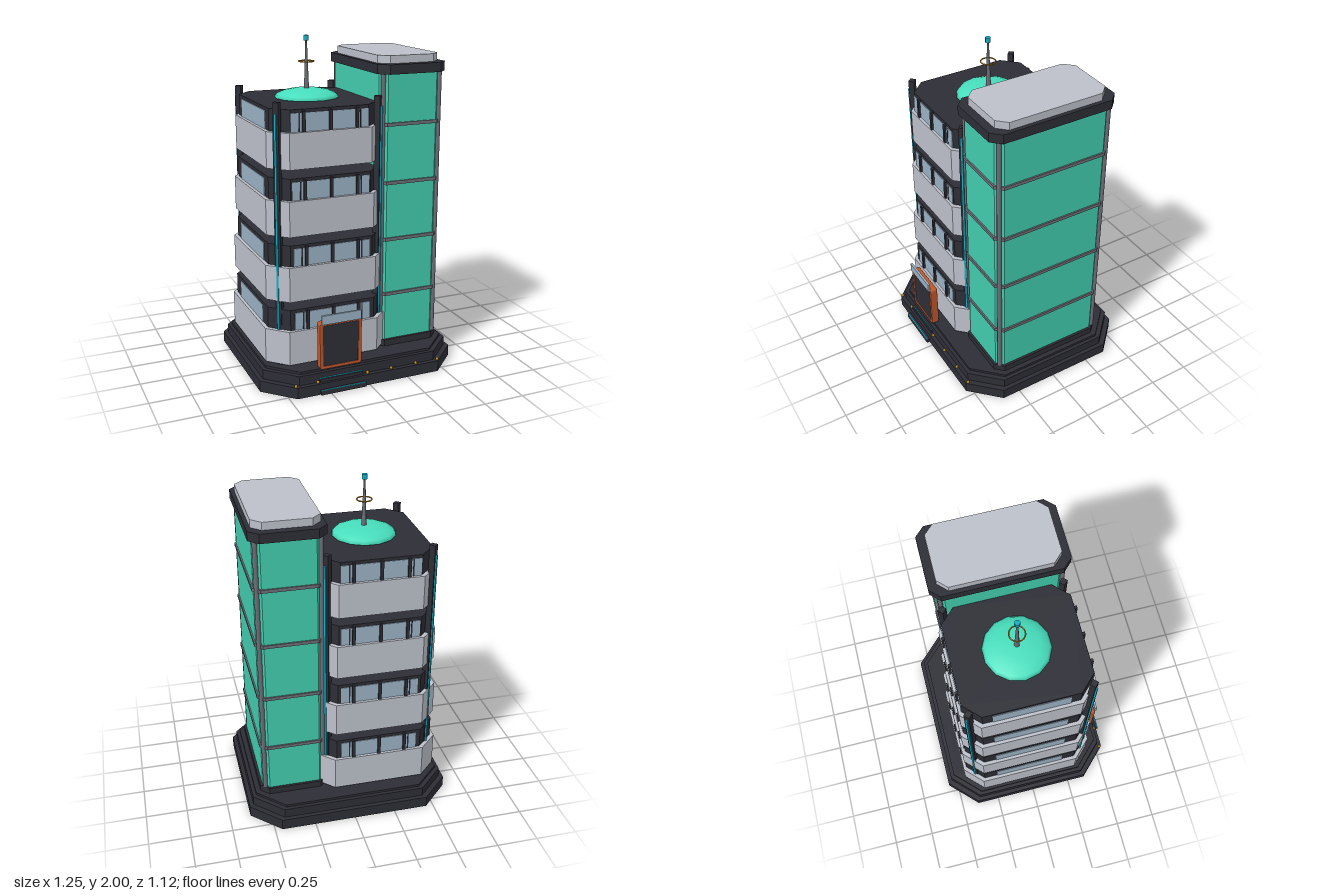
import * as THREE from 'three';

const mat = (name, color) => Object.assign(new THREE.MeshStandardMaterial({ color }), { name });
const M = {
  dark: mat('charcoal', 0x2d2d36),
  grey: mat('pale grey', 0xbcc0c9),
  green: mat('green glass', 0x42ccae),
  dome: mat('bright green', 0x47debd),
  pane: mat('window blue', 0x9ab0c2),
  orange: mat('burnt orange', 0xbb562c),
  gold: mat('gold', 0xb8860f),
  cyan: mat('cyan light', 0x13adc8),
  metal: mat('metal grey', 0x6c6e77),
};
const CX = -0.178, CZ = -0.0125, TX = 0.338; // block centre, tower centre

function add(parent, name, geo, material, x = 0, y = 0, z = 0) {
  const mesh = new THREE.Mesh(geo, material);
  mesh.name = name;
  mesh.position.set(x, y, z);
  parent.add(mesh);
  return mesh;
}

// Box given by its centre and size
const box = (p, name, m, x, y, z, w, h, d) => add(p, name, new THREE.BoxGeometry(w, h, d), m, x, y, z);

// Eight-sided prism: half sizes hx, hz, corner cut c, from y0 to y1
function octagon(p, name, m, x, hx, hz, c, y0, y1) {
  const pts = [[hx, hz - c], [hx - c, hz], [c - hx, hz], [-hx, hz - c],
    [-hx, c - hz], [c - hx, -hz], [hx - c, -hz], [hx, c - hz]];
  const shape = new THREE.Shape(pts.map(([a, b]) => new THREE.Vector2(a, b)));
  const geo = new THREE.ExtrudeGeometry(shape, { depth: y1 - y0, bevelEnabled: false });
  geo.rotateX(-Math.PI / 2);
  return add(p, name, geo, m, x, y0, CZ);
}

function roundedRect(path, w, h, r) {
  const a = w / 2, b = h / 2;
  path.moveTo(-a + r, -b);
  path.lineTo(a - r, -b).quadraticCurveTo(a, -b, a, -b + r);
  path.lineTo(a, b - r).quadraticCurveTo(a, b, a - r, b);
  path.lineTo(-a + r, b).quadraticCurveTo(-a, b, -a, b - r);
  path.lineTo(-a, -b + r).quadraticCurveTo(-a, -b, -a + r, -b);
  return path;
}

function group(parent, name) {
  const g = new THREE.Group();
  g.name = name;
  parent.add(g);
  return g;
}

function buildBase(root) {
  const g = group(root, 'base');
  octagon(g, 'lowerPlinth', M.dark, 0, 0.625, 0.5475, 0.17, 0, 0.068);
  octagon(g, 'middlePlinth', M.dark, 0, 0.6, 0.522, 0.165, 0.068, 0.125);
  octagon(g, 'upperPlinth', M.dark, 0, 0.578, 0.5, 0.16, 0.125, 0.14);
  for (const x of [-0.46, -0.325, -0.01, 0.145, 0.31, 0.457])
    add(g, 'baseLight', new THREE.SphereGeometry(0.01, 8, 6), M.gold, x, 0.075, 0.52);
  // entrance steps with light strips
  box(g, 'lowerStep', M.dark, -0.175, 0.018, 0.54, 0.285, 0.026, 0.032);
  box(g, 'lowerStepLight', M.cyan, -0.175, 0.032, 0.553, 0.285, 0.005, 0.006);
  box(g, 'upperStep', M.dark, -0.175, 0.073, 0.5, 0.27, 0.03, 0.04);
  box(g, 'upperStepLight', M.cyan, -0.175, 0.09, 0.508, 0.27, 0.005, 0.008);
}

// One storey: pale parapet, dark window band, panes and mullions
function buildFloor(root, i) {
  const g = group(root, 'floor' + (i + 1));
  const y = 0.155 + i * 0.3835, hx = 0.387 - i * 0.0125, hz = 0.425 - i * 0.0125, c = 0.11 - i * 0.003;
  octagon(g, 'parapet', M.grey, CX, hx, hz, c, y, y + 0.207);
  const bx = hx - 0.022, bz = hz - 0.02;
  octagon(g, 'windowBand', M.dark, CX, bx, bz, c - 0.008, y + 0.207, y + 0.332);
  const wy = y + 0.26;
  for (const s of [1, -1]) {
    const z = CZ + s * bz;
    box(g, 'windowStrip', M.pane, CX, wy, z, 0.47, 0.105, 0.008);
    for (const dx of [-0.16, 0, 0.16]) box(g, 'mullion', M.dark, CX + dx, wy + 0.005, z + s * 0.005, 0.018, 0.116, 0.022);
    for (const dx of [-0.225, 0.225]) box(g, 'windowJamb', M.dark, CX + dx * 0.82, wy, z + s * 0.003, 0.008, 0.105, 0.006);
  }
  box(g, 'sideWindow', M.pane, CX - bx, wy, CZ, 0.008, 0.105, 0.44);
}

function buildPosts(root) {
  const g = group(root, 'cornerPosts');
  for (const sx of [1, -1]) for (const sz of [1, -1]) {
    const px = CX + sx * 0.305, pz = CZ + sz * 0.3425;
    box(g, 'cornerPost', M.dark, px, 0.91, pz, 0.034, 1.54, 0.036).rotation.y = Math.PI / 4;
    const k = 0.0145;
    box(g, 'postLight', M.cyan, px + sx * k, 0.99, pz + sz * k, 0.012, 1.26, 0.012).rotation.y = Math.PI / 4;
  }
}

function buildTower(root) {
  const g = group(root, 'tower');
  octagon(g, 'towerFoot', M.dark, TX, 0.21, 0.372, 0.05, 0.14, 0.18);
  octagon(g, 'towerGlass', M.green, TX, 0.195, 0.358, 0.04, 0.18, 1.8);
  octagon(g, 'towerCap', M.dark, TX, 0.216, 0.392, 0.055, 1.8, 1.855);
  octagon(g, 'towerRoof', M.grey, TX, 0.192, 0.343, 0.055, 1.855, 1.9);
  for (let i = 0; i < 4; i++) {
    const y = 0.465 + i * 0.345;
    octagon(g, 'towerBand', M.metal, TX, 0.204, 0.367, 0.043, y, y + 0.02);
  }
  for (const sx of [1, -1]) for (const sz of [1, -1])
    add(g, 'towerColumn', new THREE.CylinderGeometry(0.014, 0.014, 1.62, 8), M.metal,
      TX + sx * 0.18, 0.99, CZ + sz * 0.343);
  // small link between block and tower
  box(g, 'linkDeck', M.metal, 0.06, 1.266, CZ, 0.18, 0.02, 0.2);
  box(g, 'linkTop', M.green, 0.065, 1.281, CZ, 0.17, 0.01, 0.18);
}

function buildRoof(root) {
  const g = group(root, 'roofTop');
  const dome = new THREE.SphereGeometry(0.19, 14, 4, 0, Math.PI * 2, 0, Math.PI / 2);
  dome.scale(1, 0.28, 1);
  add(g, 'dome', dome, M.dome, -0.175, 1.643, CZ);
  add(g, 'mast', new THREE.CylinderGeometry(0.005, 0.016, 0.29, 8), M.metal, -0.175, 1.83, CZ);
  const ring = new THREE.TorusGeometry(0.044, 0.004, 6, 20);
  ring.rotateX(Math.PI / 2);
  add(g, 'mastRing', ring, M.gold, -0.175, 1.85, CZ);
  add(g, 'mastLight', new THREE.CylinderGeometry(0.016, 0.016, 0.03, 8), M.cyan, -0.175, 1.985, CZ);
}

function buildEntrance(root) {
  const g = group(root, 'entrance');
  const frame = roundedRect(new THREE.Shape(), 0.264, 0.29, 0.02);
  frame.holes.push(roundedRect(new THREE.Path(), 0.22, 0.25, 0.004));
  const geo = new THREE.ExtrudeGeometry(frame, { depth: 0.034, bevelThickness: 0.008, bevelSize: 0.006, bevelOffset: -0.006, bevelSegments: 2 });
  add(g, 'doorFrame', geo, M.orange, -0.173, 0.282, 0.463);
  box(g, 'door', M.dark, -0.173, 0.275, 0.481, 0.226, 0.262, 0.036);
  box(g, 'entrancePanel', M.pane, -0.173, 0.448, 0.508, 0.245, 0.055, 0.014);
}

export function createModel() {
  const root = new THREE.Group();
  root.name = 'officeBuilding';
  buildBase(root);
  for (let i = 0; i < 4; i++) buildFloor(root, i);
  buildPosts(root);
  buildTower(root);
  buildRoof(root);
  buildEntrance(root);
  return root;
}
